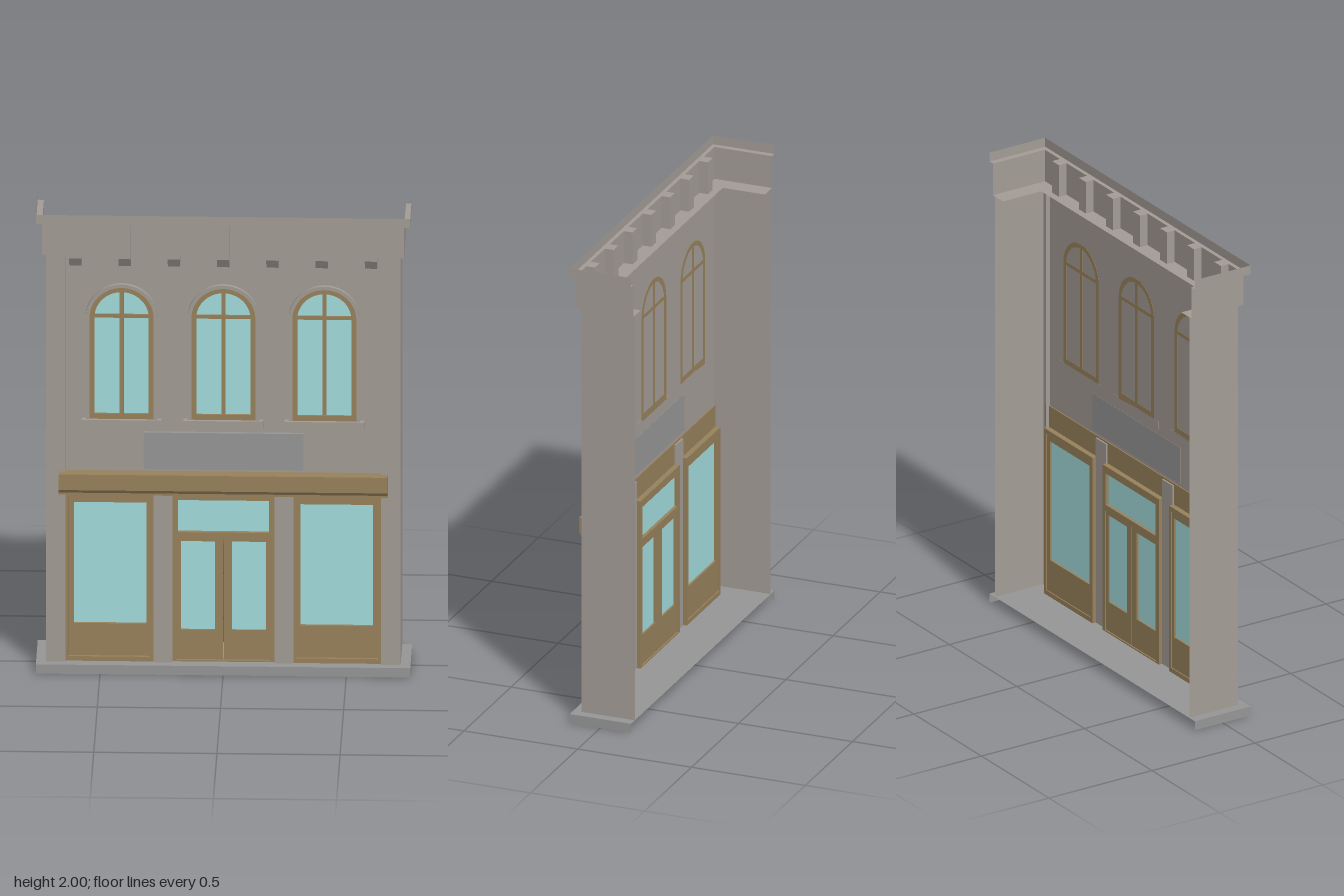
import * as THREE from 'three';

const mat = (color) => new THREE.MeshStandardMaterial({ color, side: THREE.DoubleSide });

export function createModel() {
  const model = new THREE.Group();
  model.name = 'shopFacade';
  const stone = mat(0xa39c96), grey = mat(0x969696), wood = mat(0x98815c), glass = mat(0xa3dcdc);

  const add = (name, geometry, material, parent = model) => {
    const mesh = new THREE.Mesh(geometry, material);
    mesh.name = name;
    parent.add(mesh);
    return mesh;
  };
  const group = (name, x = 0) => {
    const g = new THREE.Group();
    g.name = name;
    g.position.x = x;
    model.add(g);
    return g;
  };

  // Box given by its limits
  const box = (x0, x1, y0, y1, z0, z1) =>
    new THREE.BoxGeometry(x1 - x0, y1 - y0, z1 - z0)
      .translate((x0 + x1) / 2, (y0 + y1) / 2, (z0 + z1) / 2);

  // Flat vertical pane
  const pane = (x0, x1, y0, y1, z) =>
    new THREE.PlaneGeometry(x1 - x0, y1 - y0).translate((x0 + x1) / 2, (y0 + y1) / 2, z);

  // Outlines for frames
  const rect = (x0, x1, y0, y1) => new THREE.Shape([
    new THREE.Vector2(x0, y0), new THREE.Vector2(x1, y0),
    new THREE.Vector2(x1, y1), new THREE.Vector2(x0, y1)]);
  const arch = (r, y0, spring) => {
    const s = new THREE.Shape();
    s.moveTo(-r, y0);
    s.lineTo(r, y0);
    s.lineTo(r, spring);
    s.absarc(0, spring, r, 0, Math.PI, false);
    s.closePath();
    return s;
  };
  const frame = (outer, holes, z0, z1) => {
    outer.holes.push(...holes);
    return new THREE.ExtrudeGeometry(outer, { depth: z1 - z0, bevelEnabled: false, curveSegments: 16 })
      .translate(0, 0, z0);
  };

  // Side profile [z, y] extruded along x
  const alongX = (profile, x0, x1) => {
    const s = new THREE.Shape(profile.map(([z, y]) => new THREE.Vector2(-z, y)));
    return new THREE.ExtrudeGeometry(s, { depth: x1 - x0, bevelEnabled: false })
      .rotateY(Math.PI / 2).translate(x0, 0, 0);
  };

  // Thin shell joining rows of points, top row first
  const shell = (rows) => {
    const pos = [];
    for (let i = 0; i < rows.length - 1; i++)
      for (let j = 0; j < rows[i].length - 1; j++) {
        const a = rows[i][j], b = rows[i][j + 1], c = rows[i + 1][j], d = rows[i + 1][j + 1];
        pos.push(...a, ...c, ...b, ...b, ...c, ...d);
      }
    const g = new THREE.BufferGeometry();
    g.setAttribute('position', new THREE.Float32BufferAttribute(pos, 3));
    g.computeVertexNormals();
    return g;
  };
  const back = -0.135;
  const uRow = (x, z, y) => [[-x, y, back], [-x, y, z], [x, y, z], [x, y, back]];

  // Plinth, open underneath and behind
  add('plinthSides', shell([uRow(0.76, 0.135, 0.04), uRow(0.76, 0.135, 0)]), grey);
  add('plinthTop', new THREE.PlaneGeometry(1.52, 0.27).rotateX(-Math.PI / 2).translate(0, 0.04, 0), grey);

  // Side walls turning into the corner pilasters
  const plan = [[-0.72, back], [-0.72, 0.1], [-0.64, 0.1], [-0.64, 0.06]];
  const mirrored = plan.map(([x, z]) => [-x, z]).reverse();
  [['rightSideWall', plan], ['leftSideWall', mirrored]].forEach(([name, p]) =>
    add(name, shell([1.82, 0.04].map((y) => p.map(([x, z]) => [x, y, z]))), stone));

  // Upper front wall
  add('upperWall', pane(-0.64, 0.64, 0.86, 1.82, 0.08), stone);

  // Cornice, open at the top and back
  add('cornice', shell([
    uRow(0.76, 0.135, 2), uRow(0.76, 0.135, 1.96), uRow(0.735, 0.118, 1.96),
    uRow(0.735, 0.118, 1.82), uRow(0.66, 0.05, 1.82)]), stone);

  // Cornice brackets with sloped feet
  const bracketProfile = [[0.08, 1.96], [0.08, 1.77], [0.108, 1.77], [0.132, 1.81], [0.132, 1.96]];
  for (let i = -3; i <= 3; i++)
    add('corniceBracket', alongX(bracketProfile, i * 0.2 - 0.025, i * 0.2 + 0.025), stone);

  // Arched upper windows
  for (const x of [-0.413, 0, 0.41]) {
    const w = group('archedWindow', x);
    add('windowTrim', frame(arch(0.145, 1.08, 1.54), [arch(0.13, 1.09, 1.54)], 0.08, 0.097), stone, w);
    add('windowFrame', frame(arch(0.13, 1.09, 1.54), [arch(0.11, 1.12, 1.54)], 0.079, 0.092), wood, w);
    add('windowGlass', new THREE.ShapeGeometry(arch(0.112, 1.115, 1.54), 16).translate(0, 0, 0.083), glass, w);
    add('windowMullion', box(-0.0085, 0.0085, 1.11, 1.655, 0.079, 0.09), wood, w);
    add('windowTransom', box(-0.115, 0.115, 1.537, 1.553, 0.079, 0.089), wood, w);
    add('windowSill', box(-0.162, 0.162, 1.06, 1.097, 0.079, 0.106), stone, w);
  }

  // Blank sign panel
  add('signPanel', box(-0.325, 0.325, 0.88, 1.04, 0.079, 0.094), grey);

  // Timber fascia over the shopfront
  add('fascia', alongX([[0.075, 0.868], [0.075, 0.77], [0.107, 0.77], [0.107, 0.783],
    [0.116, 0.783], [0.127, 0.8], [0.132, 0.8], [0.132, 0.868]], -0.668, 0.668), wood);

  // Display windows and stone piers on both sides of the entrance
  for (const s of [-1, 1]) {
    const side = (x0, x1) => (s > 0 ? [x0, x1] : [-x1, -x0]);
    const d = group('displayWindow');
    add('displayOuterFrame', frame(rect(...side(0.283, 0.642), 0.04, 0.775),
      [rect(...side(0.297, 0.628), 0.06, 0.755)], 0.052, 0.09), wood, d);
    add('displayInnerFrame', frame(rect(...side(0.295, 0.63), 0.055, 0.76),
      [rect(...side(0.313, 0.607), 0.2, 0.728)], 0.057, 0.078), wood, d);
    add('displayGlass', pane(...side(0.31, 0.61), 0.195, 0.732, 0.066), glass, d);

    const p = group('pier');
    add('pierShaft', box(...side(0.207, 0.284), 0.04, 0.86, 0.068, 0.098), stone, p);
  }

  // Entrance with transom light and double doors
  const e = group('entrance');
  add('doorFrame', frame(rect(-0.208, 0.208, 0.04, 0.775),
    [rect(-0.185, 0.185, 0.603, 0.743), rect(-0.192, 0.192, 0.046, 0.577)], 0.052, 0.084), wood, e);
  add('transomGlass', pane(-0.187, 0.187, 0.6, 0.746, 0.066), glass, e);
  for (const s of [-1, 1]) {
    const side = (x0, x1) => (s > 0 ? [x0, x1] : [-x1, -x0]);
    add('doorLeaf', frame(rect(...side(0.002, 0.192), 0.042, 0.577),
      [rect(...side(0.035, 0.173), 0.175, 0.56)], 0.058, 0.073), wood, e);
    add('doorGlass', pane(...side(0.033, 0.175), 0.173, 0.562, 0.066), glass, e);
  }

  return model;
}
